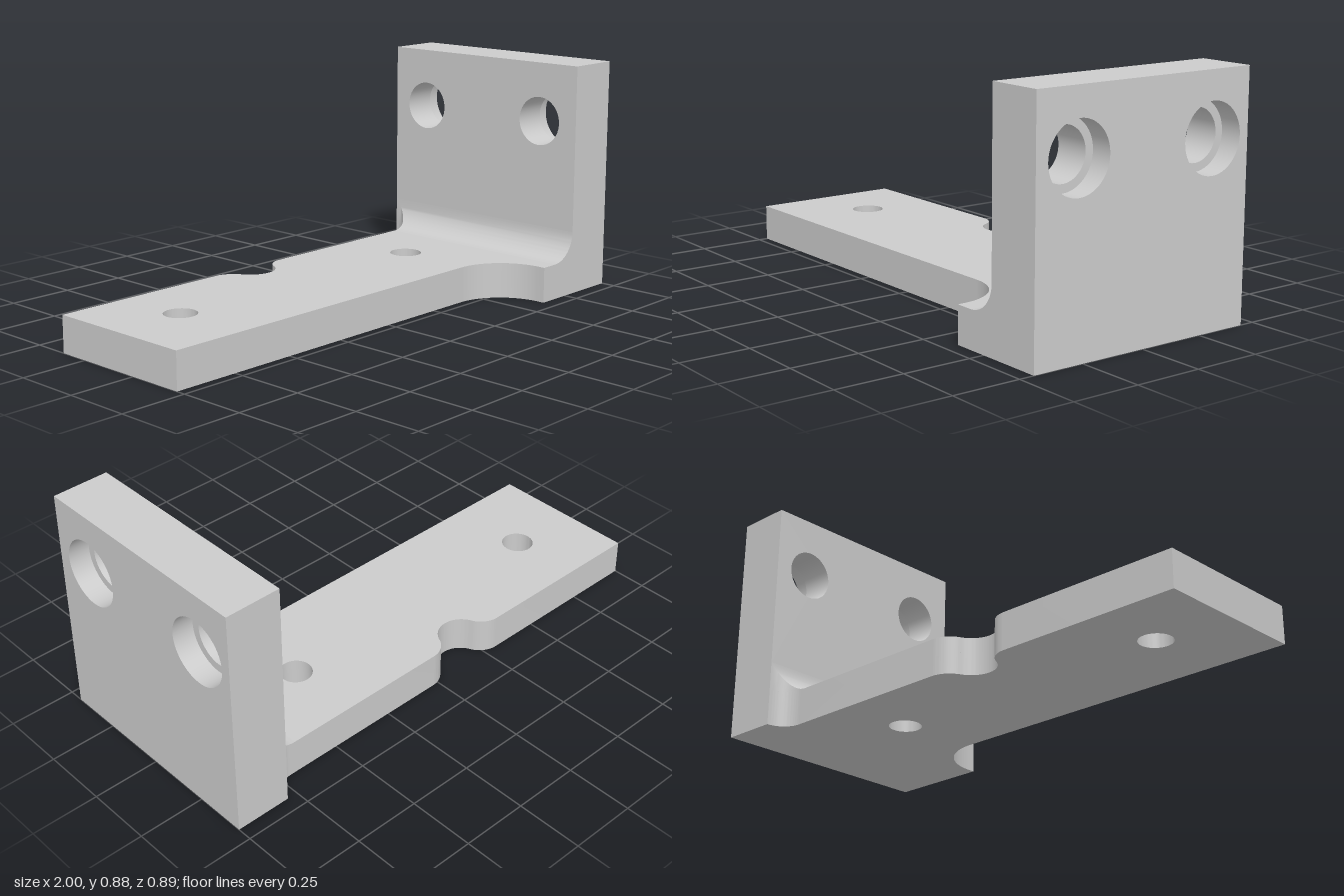
import * as THREE from 'three';
import { toCreasedNormals } from 'three/addons/utils/BufferGeometryUtils.js';

const PI = Math.PI;
const T = 0.135;               // base plate thickness
const H = 0.875;               // wall height
const X0 = 0.79, X1 = 1;       // wall inner and outer faces
const Z = 0.445;               // wall half width
const BACK = -0.365;           // rear edge of the plate
const R = 0.107;               // bend fillet radius
const CORNER = 0.08;           // rear corner relief radius
const BORE = 0.093, SINK = 0.123, SINK_DEPTH = 0.08;
const BOLTS = [0.275, -0.287], BOLT_Y = 0.65;

const material = new THREE.MeshStandardMaterial({ color: 0xcccccc, side: THREE.DoubleSide });

function add(group, geometry, name) {
  const mesh = new THREE.Mesh(geometry, material);
  mesh.name = name;
  group.add(mesh);
  return mesh;
}

const circle = (x, y, r) => new THREE.Path().absarc(x, y, r, 0, 2 * PI, true);

// Plan outline (x, z) with the rear notch and corner reliefs
function plateGeometry() {
  const a = Math.atan2(0.072, 0.165);
  const s = new THREE.Shape();
  s.moveTo(-1, BACK);
  s.lineTo(-0.305, BACK);
  s.absarc(-0.305, BACK + 0.09, 0.09, -PI / 2, -a, false);
  s.absarc(-0.14, BACK + 0.018, 0.09, PI - a, a, true);
  s.absarc(0.025, BACK + 0.09, 0.09, PI + a, 1.5 * PI, false);
  s.lineTo(X0 - CORNER, BACK);
  s.absarc(X0 - CORNER, -Z, CORNER, PI / 2, 0, true);
  s.lineTo(X0, Z);
  s.lineTo(0.615, Z);
  s.lineTo(0.615, 0.42);
  s.absarc(0.41, 0.42, 0.205, 0, -PI / 2, true);
  s.lineTo(-1, 0.215);
  s.closePath();
  s.holes.push(circle(-0.715, -0.09, 0.06), circle(0.44, -0.09, 0.06));
  const g = new THREE.ExtrudeGeometry(s, { depth: T, bevelEnabled: false, curveSegments: 24 });
  g.rotateX(PI / 2).translate(0, T, 0);
  return toCreasedNormals(g, 0.5);
}

// Concave fillet between plate and wall, trimmed by the rear corner relief
function filletGeometry() {
  const top = [], front = [], foot = [], footBack = [];
  const n = 20;
  for (let i = 0; i <= n; i++) {
    const t = (i / n) * PI / 2;
    const x = X0 - R + R * Math.sin(t);
    const y = T + R * (1 - Math.cos(t));
    const d = Math.max(0, x - (X0 - CORNER));
    const zb = -Z + Math.sqrt(Math.max(0, CORNER * CORNER - d * d));
    top.push([x, y, zb]);
    front.push([x, y, Z]);
    foot.push([x, T, Z]);
    footBack.push([x, T, zb]);
  }
  const p = [];
  for (const [a, b] of [[top, front], [front, foot], [footBack, top]]) {
    for (let i = 0; i < n; i++) {
      p.push(...a[i], ...b[i], ...a[i + 1], ...b[i], ...b[i + 1], ...a[i + 1]);
    }
  }
  const g = new THREE.BufferGeometry();
  g.setAttribute('position', new THREE.Float32BufferAttribute(p, 3));
  return toCreasedNormals(g, 0.5);
}

// Wall face with two round holes; dir +1 faces outward (+x), -1 inward
function wallFace(dir, bottom, r) {
  const s = new THREE.Shape();
  s.moveTo(-Z, bottom);
  s.lineTo(Z, bottom);
  s.lineTo(Z, H);
  s.lineTo(-Z, H);
  s.closePath();
  for (const z of BOLTS) s.holes.push(circle(-dir * z, BOLT_Y, r));
  return new THREE.ShapeGeometry(s, 24).rotateY(dir * PI / 2);
}

// Open tube along x
const tube = (r, xa, xb, z) =>
  new THREE.CylinderGeometry(r, r, xb - xa, 48, 1, true)
    .rotateZ(PI / 2).translate((xa + xb) / 2, BOLT_Y, z);

export function createModel() {
  const model = new THREE.Group();
  model.name = 'angleBracket';

  add(model, plateGeometry(), 'basePlate');
  add(model, filletGeometry(), 'bendFillet');

  // Upright wall: rim plus two pierced faces
  const wall = new THREE.Group();
  wall.name = 'uprightWall';
  const rim = new THREE.BoxGeometry(X1 - X0, H, 2 * Z);
  rim.setIndex(Array.from(rim.index.array).slice(12)); // drop the two x faces
  rim.clearGroups();
  rim.translate((X0 + X1) / 2, H / 2, 0);
  add(wall, rim, 'wallRim');
  add(wall, wallFace(1, 0, SINK), 'outerFace').position.x = X1;
  add(wall, wallFace(-1, T + R, BORE), 'innerFace').position.x = X0;

  // Counterbored bolt holes
  const step = X1 - SINK_DEPTH;
  for (const z of BOLTS) {
    add(wall, tube(BORE, X0, step, z), 'boltBore');
    add(wall, tube(SINK, step, X1, z), 'counterbore');
    const ledge = new THREE.RingGeometry(BORE, SINK, 48).rotateY(PI / 2);
    add(wall, ledge, 'counterboreLedge').position.set(step, BOLT_Y, z);
  }
  model.add(wall);
  return model;
}
